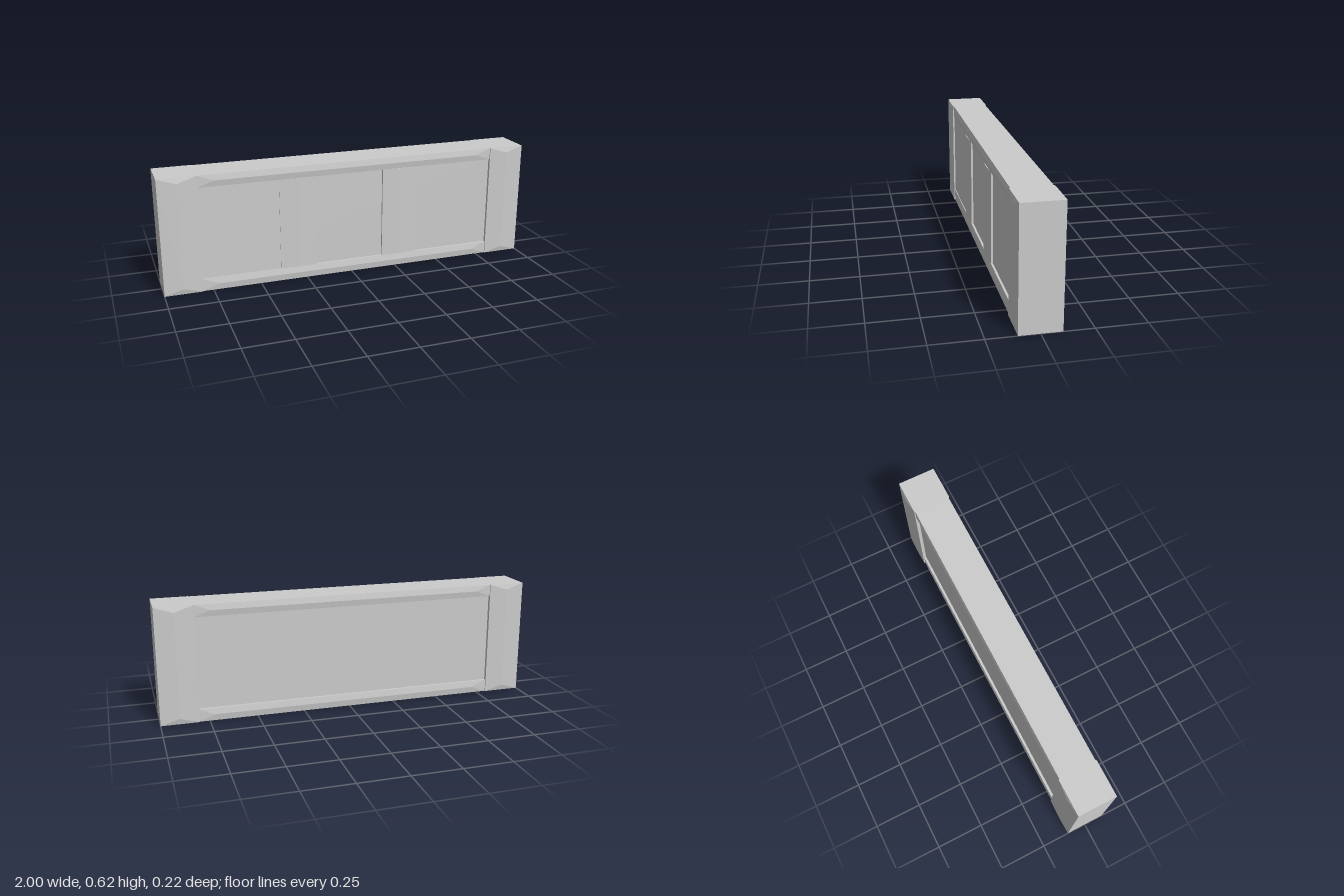
import * as THREE from 'three';

const material = new THREE.MeshStandardMaterial({ color: 0xcccccc, flatShading: true });

// Slab whose front and back faces rise in four slopes to a ridge.
// ix, iy: inset of the ridge; zBase, zPeak: half depth at the rim and at the ridge.
function cushion(x0, x1, y0, y1, ix, iy, zBase, zPeak) {
  const ring = (dx, dy, z) => [
    [x0 + dx, y0 + dy, z], [x1 - dx, y0 + dy, z],
    [x1 - dx, y1 - dy, z], [x0 + dx, y1 - dy, z],
  ];
  const rings = [ring(ix, iy, -zPeak), ring(0, 0, -zBase), ring(0, 0, zBase), ring(ix, iy, zPeak)];
  const positions = [];
  const quad = (a, b, c, d) => positions.push(...a, ...b, ...c, ...a, ...c, ...d);
  for (let i = 0; i < 3; i++) {
    for (let k = 0; k < 4; k++) {
      const n = (k + 1) % 4;
      quad(rings[i][k], rings[i][n], rings[i + 1][n], rings[i + 1][k]);
    }
  }
  quad(...rings[3]);
  quad(...rings[0].slice().reverse());
  const geometry = new THREE.BufferGeometry();
  geometry.setAttribute('position', new THREE.Float32BufferAttribute(positions, 3));
  geometry.computeVertexNormals();
  return geometry;
}

export function createModel() {
  const group = new THREE.Group();
  const add = (name, geometry, z = 0) => {
    const mesh = new THREE.Mesh(geometry, material);
    mesh.name = name;
    mesh.position.z = z;
    group.add(mesh);
  };
  const height = 0.615, inner = 0.805, low = 0.067, high = 0.552;

  // Upright end stiles
  add('leftStile', cushion(inner, 1, 0, height, 0.0975, 0.031, 0.103, 0.11));
  add('rightStile', cushion(-1, -inner, 0, height, 0.0975, 0.031, 0.103, 0.11));

  // Long rails, slightly lower than the stiles
  add('bottomRail', cushion(-inner, inner, 0, low, 0.085, low / 2, 0.098, 0.103));
  add('topRail', cushion(-inner, inner, high, height, 0.085, (height - high) / 2, 0.098, 0.103));

  // Recessed panels: [name, x0, x1, front z, back z]
  const panels = [
    ['mainPanel', -inner, inner, 0.087, -0.085],
    ['raisedPanel', -inner, -0.37, 0.094, 0.08],
  ];
  for (const [name, x0, x1, front, back] of panels) {
    const box = new THREE.BoxGeometry(x1 - x0, high - low, front - back);
    box.translate((x0 + x1) / 2, (low + high) / 2, 0);
    add(name, box, (front + back) / 2);
  }

  // Ridged upright dividers on the front
  for (const [name, x0, x1] of [['rightDivider', -0.391, -0.193], ['leftDivider', 0.174, 0.372]]) {
    add(name, cushion(x0, x1, low, high, 0.099, 0, 0.047, 0.053), 0.05);
  }
  return group;
}
